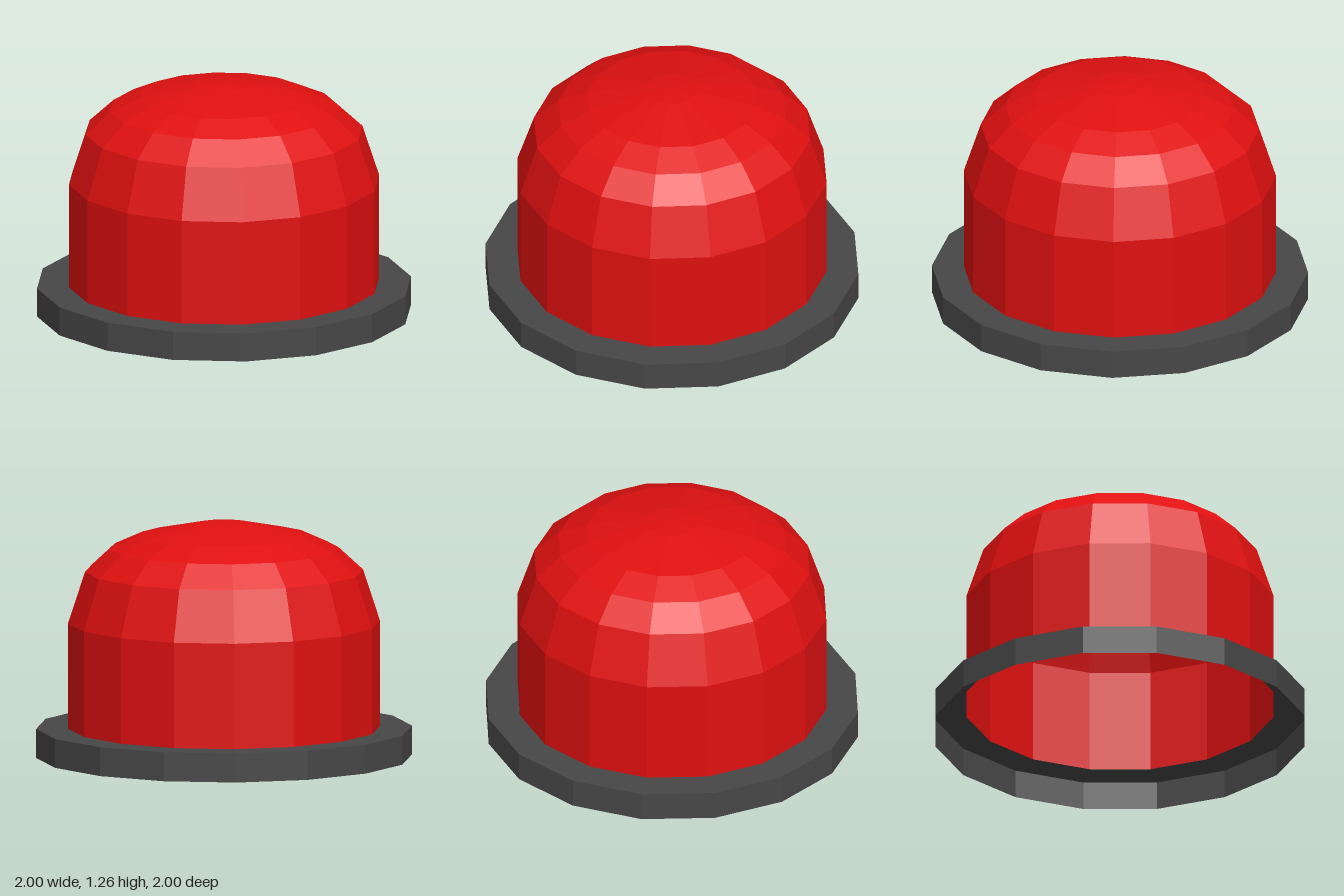
import * as THREE from 'three';

const SIDES = 16;

// Faceted surface of revolution from [radius, height] pairs, listed bottom to top
function facetedLathe(name, profile, material) {
  const points = profile.map(([r, y]) => new THREE.Vector2(r, y));
  const geometry = new THREE.LatheGeometry(points, SIDES).toNonIndexed();
  geometry.computeVertexNormals();
  const mesh = new THREE.Mesh(geometry, material);
  mesh.name = name;
  return mesh;
}

export function createModel() {
  const red = new THREE.MeshStandardMaterial({
    name: 'red', color: 0xe01010, flatShading: true, side: THREE.DoubleSide,
  });
  const darkGrey = new THREE.MeshStandardMaterial({
    name: 'darkGrey', color: 0x474747, flatShading: true, side: THREE.DoubleSide,
  });

  const model = new THREE.Group();
  model.name = 'domedButton';

  // Base collar: outer wall and top ledge, open underneath
  model.add(facetedLathe('baseCollar', [[1, 0], [1, 0.155], [0.83, 0.155]], darkGrey));

  // Hollow dome: straight wall, rounded shoulder, shallow crown
  model.add(facetedLathe('dome', [
    [0.83, 0.155], [0.83, 0.72], [0.74, 0.995], [0.61, 1.115],
    [0.455, 1.185], [0.14, 1.25], [0, 1.258],
  ], red));

  return model;
}
